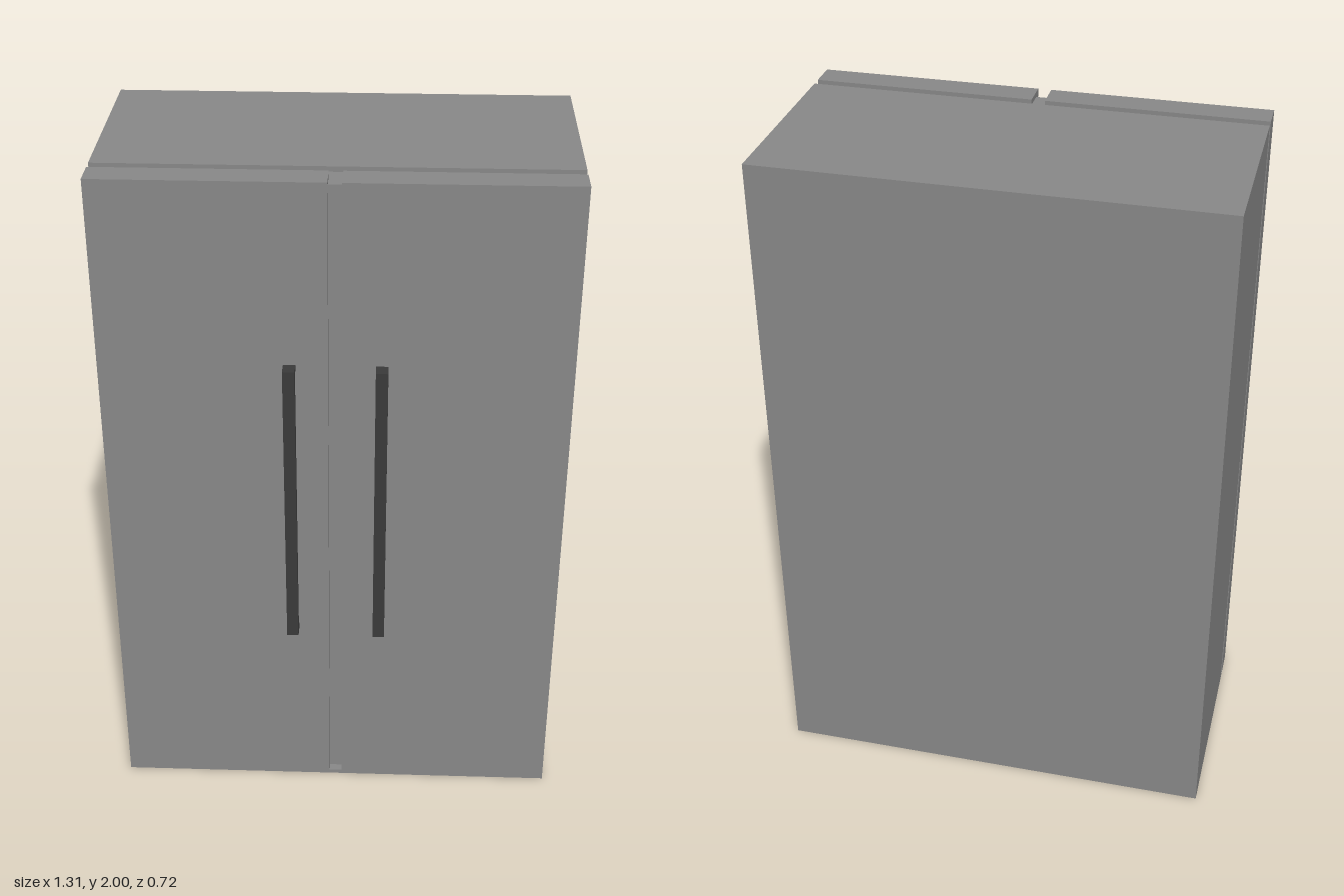
import * as THREE from 'three';

const grey = new THREE.MeshStandardMaterial({ color: 0x8a8a8a });
const dark = new THREE.MeshStandardMaterial({ color: 0x3b3b3b });

const HALF_W = 0.653, BACK = -0.362, BODY_FRONT = 0.208, DOOR_BACK = 0.237, DOOR_FRONT = 0.32;
const HALF_GAP = 0.019;

// Box given by its limits on each axis
function box(name, [x0, x1], [y0, y1], [z0, z1], material) {
  const mesh = new THREE.Mesh(new THREE.BoxGeometry(x1 - x0, y1 - y0, z1 - z0), material);
  mesh.position.set((x0 + x1) / 2, (y0 + y1) / 2, (z0 + z1) / 2);
  mesh.name = name;
  return mesh;
}

// T-shaped filler behind and between the doors
function tee(name, halfWidth, stemFront, y0, y1) {
  const points = [
    [-halfWidth, BODY_FRONT], [halfWidth, BODY_FRONT], [halfWidth, DOOR_BACK], [HALF_GAP, DOOR_BACK],
    [HALF_GAP, stemFront], [-HALF_GAP, stemFront], [-HALF_GAP, DOOR_BACK], [-halfWidth, DOOR_BACK],
  ].map(([x, z]) => new THREE.Vector2(x, -z));
  const geometry = new THREE.ExtrudeGeometry(new THREE.Shape(points), { depth: y1 - y0, bevelEnabled: false });
  geometry.rotateX(-Math.PI / 2);
  const mesh = new THREE.Mesh(geometry, grey);
  mesh.position.y = y0;
  mesh.name = name;
  return mesh;
}

// Flat bar held off the door by a short post at each end
function handle(name, x) {
  const group = new THREE.Group();
  group.name = name;
  const xs = [x - 0.017, x + 0.017];
  group.add(
    box('handleBar', xs, [0.578, 1.469], [0.342, 0.362], dark),
    box('lowerPost', xs, [0.578, 0.594], [DOOR_FRONT, 0.342], dark),
    box('upperPost', xs, [1.453, 1.469], [DOOR_FRONT, 0.342], dark),
  );
  return group;
}

export function createModel() {
  const model = new THREE.Group();
  model.name = 'refrigerator';

  // Cabinet, recessed seal and the sill closing the gap at floor level
  model.add(
    box('cabinet', [-HALF_W, HALF_W], [0, 2], [BACK, BODY_FRONT], grey),
    tee('doorSeal', HALF_W - 0.01, 0.295, 0.013, 1.985),
    tee('sill', HALF_W, DOOR_FRONT, 0, 0.013),
  );

  // Pair of doors with handles beside the centre gap
  for (const [side, s] of [['left', 1], ['right', -1]]) {
    const xs = [s * HALF_GAP, s * HALF_W].sort((a, b) => a - b);
    model.add(
      box(side + 'Door', xs, [0, 2], [DOOR_BACK, DOOR_FRONT], grey),
      handle(side + 'Handle', s * 0.127 + 0.002),
    );
  }
  return model;
}
